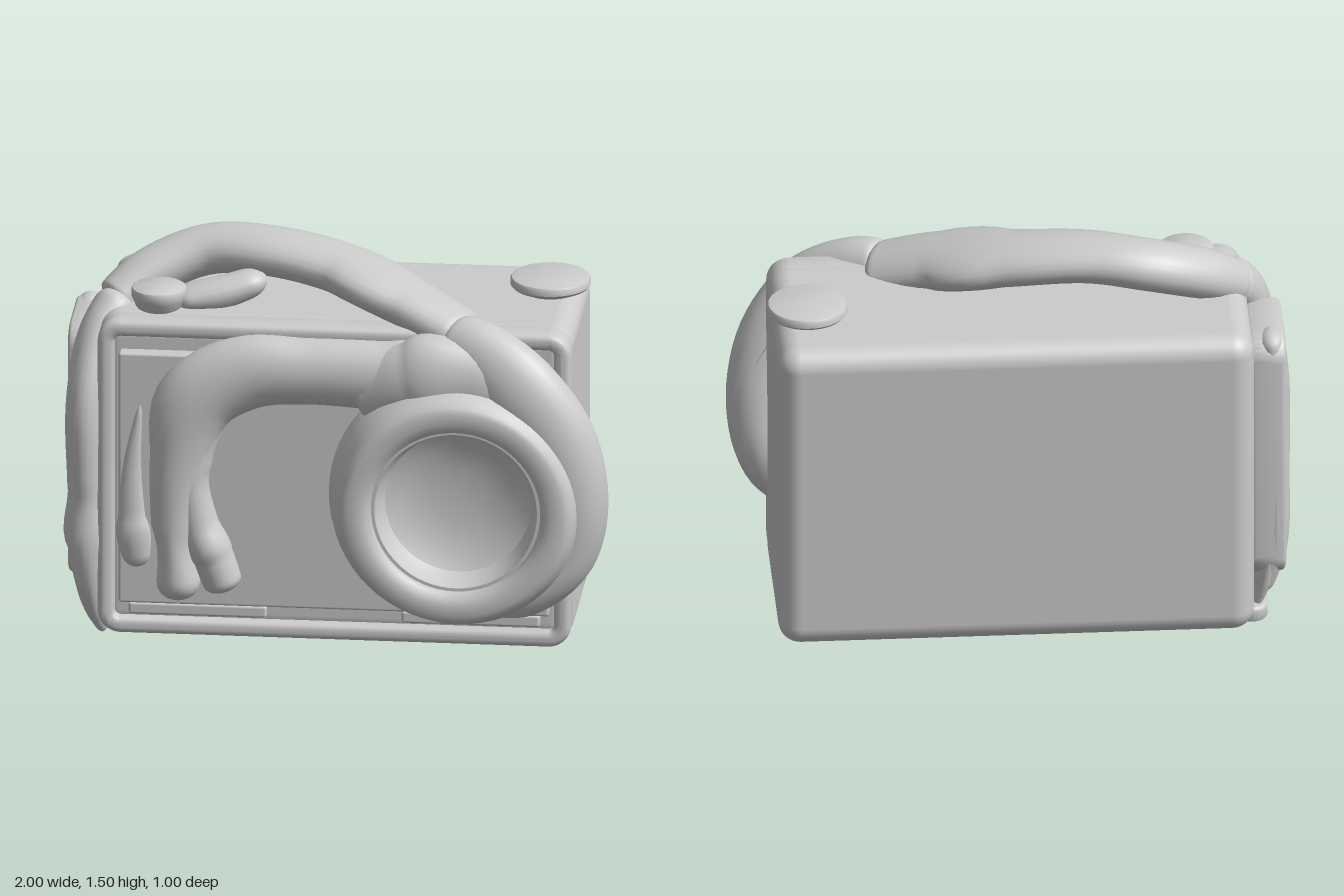
import * as THREE from 'three';
import { RoundedBoxGeometry } from 'three/addons/geometries/RoundedBoxGeometry.js';
import { toCreasedNormals } from 'three/addons/utils/BufferGeometryUtils.js';

const clay = new THREE.MeshStandardMaterial({ color: 0xcccccc });
clay.name = 'light grey';

// Sweep an ellipse along a curve; each point is [x, y, z, halfWidth, halfDepth], depth being along z
function sweep(points, steps = 64, sides = 24, cap = 0.06) {
  const curve = new THREE.CatmullRomCurve3(points.map(p => new THREE.Vector3(p[0], p[1], p[2])));
  const radii = new THREE.CatmullRomCurve3(points.map(p => new THREE.Vector3(p[3], p[4], 0)));
  const ref = new THREE.Vector3(0, 0, 1), pos = [], index = [];
  for (let i = 0; i <= steps; i++) {
    const t = (1 - Math.cos(Math.PI * i / steps)) / 2;
    const c = curve.getPoint(t), tan = curve.getTangent(t), r = radii.getPoint(t);
    const end = Math.min(1, Math.min(t, 1 - t) / cap);
    const round = Math.sqrt(Math.max(0, 1 - (1 - end) ** 2));
    const side = new THREE.Vector3().crossVectors(tan, ref).normalize();
    const up = new THREE.Vector3().crossVectors(side, tan);
    for (let j = 0; j < sides; j++) {
      const a = j / sides * Math.PI * 2;
      const v = c.clone().addScaledVector(side, Math.cos(a) * r.x * round)
        .addScaledVector(up, Math.sin(a) * r.y * round);
      pos.push(v.x, v.y, v.z);
      if (i < steps) {
        const k = i * sides, n = (j + 1) % sides;
        index.push(k + j, k + sides + j, k + n, k + n, k + sides + j, k + sides + n);
      }
    }
  }
  // Orient the winding outwards
  const g = new THREE.BufferGeometry();
  g.setAttribute('position', new THREE.Float32BufferAttribute(pos, 3));
  let volume = 0;
  const [A, B, C] = [0, 1, 2].map(() => new THREE.Vector3());
  for (let i = 0; i < index.length; i += 3) {
    A.fromArray(pos, index[i] * 3); B.fromArray(pos, index[i + 1] * 3); C.fromArray(pos, index[i + 2] * 3);
    volume += A.dot(B.cross(C));
  }
  if (volume < 0) index.reverse();
  g.setIndex(index);
  g.computeVertexNormals();
  return g;
}

function roundRect(Type, x0, y0, x1, y1, r) {
  const s = new Type();
  s.absarc(x1 - r, y0 + r, r, -Math.PI / 2, 0);
  s.absarc(x1 - r, y1 - r, r, 0, Math.PI / 2);
  s.absarc(x0 + r, y1 - r, r, Math.PI / 2, Math.PI);
  s.absarc(x0 + r, y0 + r, r, Math.PI, Math.PI * 1.5);
  s.closePath();
  return s;
}

// Rounded-edge slab from a shape
const slab = (shape, depth, bevel) => toCreasedNormals(new THREE.ExtrudeGeometry(shape, {
  depth, bevelSize: bevel, bevelThickness: bevel, bevelSegments: 4, curveSegments: 8,
}), 0.65);

const lathe = (pts, n = 64) => toCreasedNormals(
  new THREE.LatheGeometry(pts.map(p => new THREE.Vector2(...p)), n), 0.6);

export function createModel() {
  const model = new THREE.Group();
  const add = (name, geometry, x = 0, y = 0, z = 0) => {
    const m = new THREE.Mesh(geometry, clay);
    m.name = name;
    m.position.set(x, y, z);
    model.add(m);
    return m;
  };

  // Rounded case, raised front rim and inset front panel
  add('caseBody', new RoundedBoxGeometry(1.72, 1.205, 0.73, 5, 0.08), 0, 0.648, -0.135);
  const rim = roundRect(THREE.Shape, -0.835, 0.07, 0.835, 1.225, 0.06);
  rim.holes.push(roundRect(THREE.Path, -0.82, 0.085, 0.82, 1.21, 0.045));
  add('frontRim', slab(rim, 0.1, 0.023), 0, 0, 0.147);
  add('frontPanel', new RoundedBoxGeometry(1.56, 0.96, 0.1, 2, 0.01), 0, 0.65, 0.228);
  for (const s of [-1, 1]) {
    add('frontSlot', new RoundedBoxGeometry(0.5, 0.045, 0.08, 2, 0.01), s * 0.495, 0.145, 0.225);
  }

  // Soft lens ring with a thin lip and concave dish
  add('lensRing', lathe([
    [0.48, 0.22], [0.475, 0.3], [0.46, 0.38], [0.435, 0.44], [0.425, 0.47], [0.41, 0.49], [0.39, 0.498],
    [0.35, 0.498], [0.325, 0.49], [0.31, 0.475], [0.307, 0.455], [0.295, 0.455], [0.29, 0.41],
    [0.265, 0.36], [0.2, 0.325], [0.1, 0.31], [0, 0.305],
  ]), 0.46, 0.63, 0).rotation.x = Math.PI / 2;

  // Thick arm curling round the lens to the top edge
  add('lensArm', sweep([
    [0.5, 0.26, 0.32, 0.06, 0.06], [0.68, 0.28, 0.3, 0.1, 0.12], [0.82, 0.42, 0.28, 0.13, 0.14],
    [0.865, 0.64, 0.31, 0.135, 0.13], [0.81, 0.88, 0.34, 0.145, 0.115], [0.67, 1.07, 0.345, 0.15, 0.1],
    [0.52, 1.18, 0.28, 0.125, 0.1], [0.41, 1.22, 0.22, 0.09, 0.1],
  ], 72));
  add('armFill', sweep([
    [0.72, 0.98, 0.32, 0.15, 0.1], [0.5, 1.08, 0.32, 0.15, 0.1], [0.28, 1.07, 0.31, 0.15, 0.1],
    [0.08, 1.0, 0.28, 0.1, 0.08],
  ]));

  // Handle arching over the top
  add('topHandle', sweep([
    [0.48, 1.21, 0.21, 0.085, 0.13], [0.25, 1.3, 0.1, 0.085, 0.145], [0, 1.37, -0.03, 0.085, 0.145],
    [-0.28, 1.405, -0.1, 0.085, 0.13], [-0.5, 1.385, -0.14, 0.09, 0.115],
    [-0.7, 1.31, -0.08, 0.09, 0.105], [-0.83, 1.22, 0.01, 0.08, 0.09],
  ], 64, 24, 0.03));
  add('handleLumps', sweep([
    [-0.27, 1.34, 0, 0.05, 0.07], [-0.44, 1.29, 0.05, 0.06, 0.07], [-0.6, 1.27, 0.06, 0.04, 0.08],
  ], 24, 16, 0.2));

  // Strand running down the right flank
  add('sideStrand', sweep([
    [-0.79, 1.26, 0, 0.08, 0.09], [-0.87, 1.13, 0.1, 0.075, 0.1], [-0.905, 0.9, 0.18, 0.075, 0.11],
    [-0.905, 0.6, 0.18, 0.07, 0.1], [-0.9, 0.35, 0.18, 0.07, 0.1], [-0.885, 0.15, 0.12, 0.05, 0.1],
    [-0.86, 0.03, 0.02, 0.03, 0.1],
  ]));

  // Flat side plate with a small window, a raised rear ridge and a tapering lower end
  const plate = roundRect(THREE.Shape, -0.06, 0.2, 0.31, 1.13, 0.07);
  plate.holes.push(roundRect(THREE.Path, 0.02, 0.46, 0.13, 0.54, 0.015));
  add('sidePlate', slab(plate, 0.09, 0.02), -0.965, 0, 0).rotation.y = Math.PI / 2;
  add('sidePlateRidge', sweep([
    [-0.93, 1.16, -0.24, 0.05, 0.08], [-0.95, 0.95, -0.26, 0.05, 0.07], [-0.95, 0.6, -0.26, 0.05, 0.07],
    [-0.945, 0.3, -0.25, 0.05, 0.08], [-0.9, 0.1, -0.22, 0.04, 0.08],
  ], 40, 16));
  add('sidePlateTail', sweep([
    [-0.935, 0.32, -0.11, 0.055, 0.22], [-0.91, 0.15, -0.11, 0.045, 0.21], [-0.87, 0.02, -0.11, 0.025, 0.18],
  ], 24));

  // Hand spread across the front: one wide band ending in three fingers
  add('frontBand', sweep([
    [0.5, 1.08, 0.28, 0.13, 0.1], [0.2, 1.08, 0.28, 0.13, 0.1], [-0.08, 1.085, 0.27, 0.125, 0.1],
    [-0.32, 1.07, 0.27, 0.14, 0.1], [-0.5, 0.96, 0.28, 0.145, 0.1], [-0.56, 0.73, 0.29, 0.105, 0.09],
    [-0.575, 0.48, 0.29, 0.085, 0.09], [-0.555, 0.2, 0.3, 0.085, 0.09],
  ], 72, 24, 0.04));
  add('frontFinger', sweep([
    [-0.45, 0.95, 0.26, 0.08, 0.08], [-0.515, 0.72, 0.28, 0.075, 0.08], [-0.495, 0.5, 0.28, 0.075, 0.08],
    [-0.435, 0.36, 0.28, 0.075, 0.08], [-0.39, 0.23, 0.28, 0.07, 0.07],
  ], 48, 20, 0.08));
  add('thinFinger', sweep([
    [-0.7, 0.94, 0.27, 0.01, 0.015], [-0.73, 0.7, 0.27, 0.035, 0.025], [-0.73, 0.5, 0.27, 0.05, 0.035],
    [-0.71, 0.31, 0.27, 0.05, 0.035],
  ], 40, 16, 0.08));

  // Flattened fingers gripping the underside: rows of lobes in two groups
  [[-0.86, 0.04], [-0.78, 0.1], [-0.7, 0.07], [-0.61, 0.0], [-0.5, 0.1], [-0.4, 0.06], [-0.31, -0.02]]
    .forEach(([x, z]) => {
      const lobe = roundRect(THREE.Shape, x - 0.045, -z + 0.015, x + 0.045, 0.32, 0.044);
      add('undersideFinger', slab(lobe, 0.03, 0.015), 0, 0.02, 0).rotation.x = -Math.PI / 2;
    });

  // Mushroom-shaped top buttons
  const button = (name, r, stem, x, y, z, h) => add(name, lathe([
    [0, 0], [r * stem, 0], [r * (stem + 0.1), h * 0.15], [r * 0.94, h * 0.45], [r, h * 0.58],
    [r, h * 0.85], [r * 0.97, h * 0.95], [r * 0.9, h], [0, h],
  ], 40), x, y, z);
  button('shutterButton', 0.1, 0.75, -0.65, 1.245, 0.1, 0.085);
  button('topDial', 0.145, 0.5, 0.74, 1.235, -0.2, 0.075);

  return model;
}
